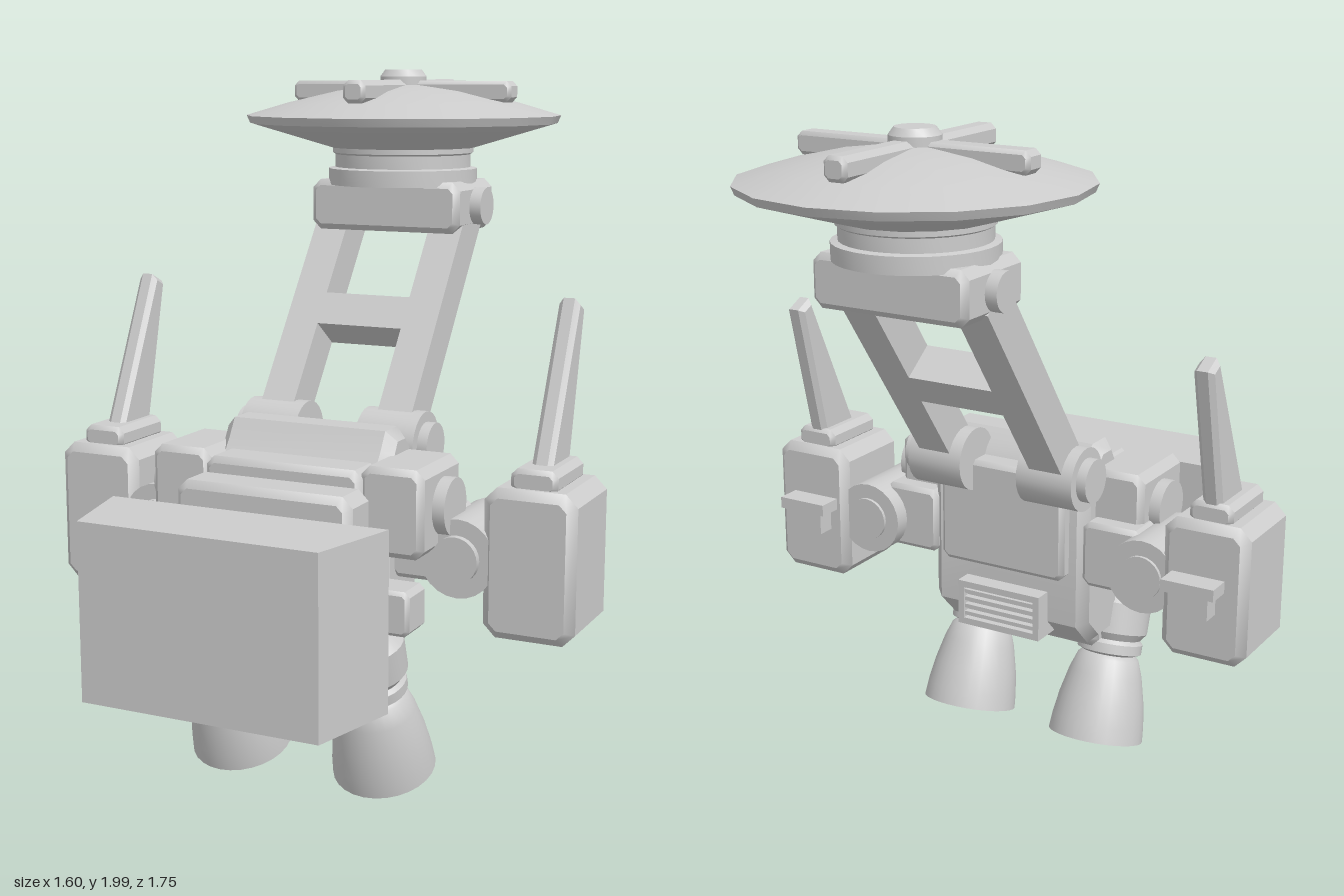
import * as THREE from 'three';
import { toCreasedNormals } from 'three/addons/utils/BufferGeometryUtils.js';

const grey = new THREE.MeshStandardMaterial({ color: 0xcccccc });
grey.name = 'light grey';

export function createModel() {
  const model = new THREE.Group();
  model.name = 'equipmentPack';

  function add(name, geometry, x = 0, y = 0, z = 0, rx = 0) {
    const mesh = new THREE.Mesh(toCreasedNormals(geometry, 0.6), grey);
    mesh.name = name;
    mesh.position.set(x, y, z);
    mesh.rotation.x = rx;
    model.add(mesh);
    return mesh;
  }

  // Outline extruded to a total depth, centred, with bevelled edges
  function extrude(points, depth, bevel = 0) {
    const shape = new THREE.Shape(points.map(p => new THREE.Vector2(...p)));
    const g = new THREE.ExtrudeGeometry(shape, {
      depth: depth - 2 * bevel, bevelEnabled: bevel > 0, bevelSize: bevel,
      bevelThickness: bevel, bevelOffset: -bevel, bevelSegments: 1,
    });
    return g.translate(0, 0, bevel - depth / 2);
  }

  // (z, y) outline extruded across x
  const sideExtrude = (points, width, bevel) => extrude(points, width, bevel).rotateY(-Math.PI / 2);

  // Box with cut corners and bevelled ends
  function chamferBox(w, h, d, c) {
    const a = w / 2, b = h / 2;
    return extrude([[-a + c, -b], [a - c, -b], [a, -b + c], [a, b - c],
      [a - c, b], [-a + c, b], [-a, b - c], [-a, -b + c]], d, c * 0.7);
  }

  // Box given by its limits on each axis
  function block(name, x0, x1, y0, y1, z0, z1, c = 0.02) {
    const g = c ? chamferBox(x1 - x0, y1 - y0, z1 - z0, c) : new THREE.BoxGeometry(x1 - x0, y1 - y0, z1 - z0);
    return add(name, g, (x0 + x1) / 2, (y0 + y1) / 2, (z0 + z1) / 2);
  }
  function sideBlock(name, s, x0, x1, ...rest) {
    return s > 0 ? block(name, x0, x1, ...rest) : block(name, -x1, -x0, ...rest);
  }

  const lathe = (points, sides) => new THREE.LatheGeometry(points.map(p => new THREE.Vector2(...p)), sides);
  const drumX = (r, len) => new THREE.CylinderGeometry(r, r, len, 24).rotateZ(Math.PI / 2);
  const drumZ = (r, len) => new THREE.CylinderGeometry(r, r, len, 24).rotateX(Math.PI / 2);

  // Central hull, stepped down toward the front
  add('hull', sideExtrude([[0.07, 0.48], [0.15, 0.4], [0.3, 0.4], [0.3, 0.94], [0.27, 0.98],
    [0.24, 1.03], [0.16, 1.03], [0.11, 0.98], [0.07, 0.9]], 0.53, 0.03));
  block('middleHull', -0.24, 0.24, 0.36, 0.95, 0.2, 0.41, 0.025);
  block('frontHull', -0.265, 0.265, 0.33, 0.905, 0.39, 0.53, 0.03);
  block('backPanel', -0.21, 0.21, 0.63, 0.96, 0.03, 0.12, 0.02);

  // Rear vent with slats
  block('ventBack', -0.13, 0.13, 0.45, 0.56, 0.04, 0.12, 0);
  for (const y of [0.445, 0.565]) block('ventFrame', -0.14, 0.14, y - 0.01, y + 0.01, 0.015, 0.12, 0);
  for (const x of [-0.13, 0.13]) block('ventFrame', x - 0.01, x + 0.01, 0.44, 0.57, 0.015, 0.12, 0);
  for (let i = 0; i < 4; i++) {
    const y = 0.469 + i * 0.024;
    block('ventSlat', -0.12, 0.12, y - 0.006, y + 0.006, 0.02, 0.05, 0);
  }

  // Large box at the front, narrower toward its face
  const box = extrude([[-0.412, 0.605], [0.412, 0.605], [0.347, 0.875], [-0.347, 0.875]], 0.49);
  add('frontBox', box.rotateX(Math.PI / 2), 0, 0.615, 0);

  const tilt = Math.atan2(0.397, 0.54);
  for (const s of [-1, 1]) {
    // Shoulder blocks and links
    sideBlock('shoulder', s, 0.23, 0.415, 0.72, 0.965, 0.13, 0.4, 0.025);
    add('shoulderCap', drumX(0.08, 0.06), s * 0.42, 0.845, 0.255);
    sideBlock('shoulderLink', s, 0.25, 0.44, 0.62, 0.82, 0.07, 0.24, 0.02);
    sideBlock('hipBlock', s, 0.24, 0.39, 0.515, 0.64, 0.31, 0.43, 0.015);

    // Pod joint
    add('podJoint', drumZ(0.11, 0.27), s * 0.47, 0.71, 0.155);
    add('podJointCap', drumZ(0.065, 0.3), s * 0.47, 0.71, 0.16);

    // Side pod with cap, fin and rear bracket
    sideBlock('pod', s, 0.54, 0.8, 0.5, 0.915, 0, 0.295, 0.035);
    sideBlock('podCap', s, 0.605, 0.737, 0.9, 0.967, 0.03, 0.26, 0.018);
    add('fin', sideExtrude([[0.2, 0.95], [0.04, 0.95], [-0.06, 1.365], [-0.005, 1.392]], 0.06, 0.014), s * 0.67);
    sideBlock('bracket', s, 0.6, 0.71, 0.655, 0.74, -0.055, 0.02, 0);
    sideBlock('bracketLip', s, 0.575, 0.735, 0.725, 0.76, -0.075, 0.02, 0);

    // Tilted thruster, hollow below
    add('thruster', lathe([[0, 0.24], [0.06, 0.23], [0.1, 0.17], [0.122, 0.08], [0.135, 0],
      [0.147, 0], [0.143, 0.05], [0.132, 0.12], [0.113, 0.2], [0.095, 0.25], [0.082, 0.262],
      [0.1, 0.27], [0.1, 0.3], [0.09, 0.312], [0.108, 0.335], [0.108, 0.43], [0.07, 0.475], [0, 0.475]], 28),
    s * 0.23, 0.058, 0.225, 0.314);

    // Leaning strut and its lower pivot
    add('strut', new THREE.BoxGeometry(0.105, 0.76, 0.12), s * 0.187, 1.27, -0.166, -tilt);
    add('strutPivot', drumX(0.095, 0.18), s * 0.185, 0.96, 0.05);
    add('strutPivotCap', drumX(0.065, 0.05), s * 0.28, 0.96, 0.05);

    // Head pivot
    add('headPivot', drumX(0.055, 0.06), s * 0.245, 1.6, -0.4);
  }
  add('crossbar', new THREE.BoxGeometry(0.28, 0.105, 0.12), 0, 1.27, -0.166, -tilt);

  // Head block and turntable
  block('headBlock', -0.24, 0.24, 1.525, 1.675, -0.545, -0.255, 0.025);
  add('turntable', lathe([[0, 1.66], [0.225, 1.66], [0.225, 1.708], [0.205, 1.712], [0.205, 1.75],
    [0.213, 1.755], [0.213, 1.79], [0, 1.79]], 32), 0, 0, -0.4);

  // Sixteen-sided dish
  add('dish', lathe([[0, 1.77], [0.22, 1.77], [0.465, 1.842], [0.475, 1.865],
    [0.35, 1.902], [0.2, 1.937], [0.07, 1.955], [0, 1.957]], 16), 0, 0, -0.4);

  // Crossed bars and hub on the dish
  block('dishBar', -0.355, 0.355, 1.905, 1.967, -0.435, -0.365, 0.015);
  block('dishBar', -0.035, 0.035, 1.905, 1.97, -0.757, -0.045, 0.015);
  add('hub', lathe([[0.07, 1.94], [0.07, 1.98], [0.055, 2], [0, 2]], 20), 0, 0, -0.4);

  return model;
}
